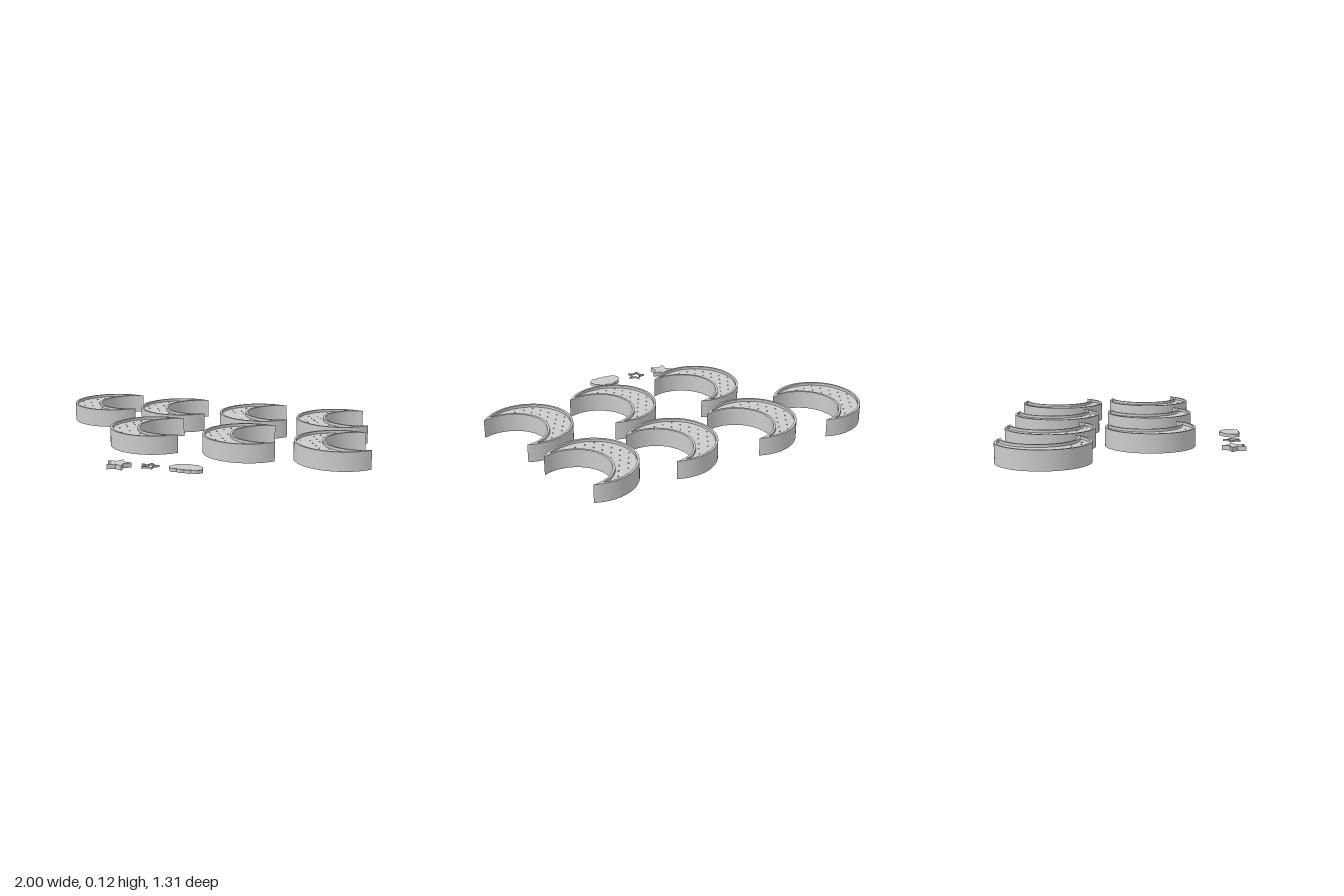
import * as THREE from 'three';
import { toCreasedNormals } from 'three/addons/utils/BufferGeometryUtils.js';

const material = new THREE.MeshStandardMaterial({ color: 0xcccccc });

// Crescent: a disc of radius R with a second disc of radius r bitten out
const R = 0.2475, r = 0.197, D = 0.117, TILT = 0.26;
const BITE = new THREE.Vector2(D * Math.cos(TILT), D * Math.sin(TILT));

function crescentPoints(inset) {
  const ro = R - inset, ri = r + inset;
  const a = (ro * ro - ri * ri + D * D) / (2 * D);
  const theta = Math.acos(a / ro), phi = Math.acos((a - D) / ri);
  const points = [];
  const n = 56, m = 44;
  for (let i = 0; i <= n; i++) {
    const t = TILT + theta + (2 * Math.PI - 2 * theta) * i / n;
    points.push(new THREE.Vector2(ro * Math.cos(t), ro * Math.sin(t)));
  }
  for (let i = 1; i < m; i++) {
    const t = TILT - phi - (2 * Math.PI - 2 * phi) * i / m;
    points.push(new THREE.Vector2(BITE.x + ri * Math.cos(t), BITE.y + ri * Math.sin(t)));
  }
  return points;
}

function starPoints(radius, inner = 0.5) {
  return Array.from({ length: 10 }, (_, i) => {
    const t = Math.PI / 2 + i * Math.PI / 5, d = i % 2 ? radius * inner : radius;
    return new THREE.Vector2(d * Math.cos(t), d * Math.sin(t));
  });
}

// Cloud: bulging arcs between cusps
function cloudPoints() {
  const cusps = [[-0.085, -0.04], [-0.04, -0.052], [0.0, -0.052], [0.04, -0.054], [0.08, -0.042],
    [0.084, -0.002], [0.06, 0.026], [0.016, 0.046], [-0.045, 0.036], [-0.082, 0.004]];
  const path = new THREE.Path().moveTo(...cusps[0]);
  cusps.forEach(([x, y], i) => {
    const [u, v] = cusps[(i + 1) % cusps.length];
    const k = 0.48;
    path.quadraticCurveTo((x + u) / 2 + (v - y) * k, (y + v) / 2 - (u - x) * k, u, v);
  });
  return path.getPoints(8).slice(0, -1);
}

const scaled = (points, k) => points.map(p => p.clone().multiplyScalar(k));

// Upright slab on the ground plane, from y0 to y1, with cut-outs
function slab(points, holes, y0, y1) {
  const shape = new THREE.Shape(points);
  shape.holes = holes.map(h => new THREE.Path(h));
  const geometry = new THREE.ExtrudeGeometry(shape, { depth: y1 - y0, bevelEnabled: false });
  geometry.rotateX(-Math.PI / 2).translate(0, y0, 0);
  return toCreasedNormals(geometry, 0.5);
}

// Small perforations on a staggered grid inside the crescent
function perforations() {
  const holes = [], step = 0.055, margin = 0.024;
  for (let row = -5; row <= 5; row++) {
    for (let col = -6; col <= 6; col++) {
      const x = (col + (row % 2 ? 0.5 : 0)) * step, y = row * step * 0.87;
      if (Math.hypot(x, y) > R - margin || Math.hypot(x - BITE.x, y - BITE.y) < r + margin) continue;
      holes.push(Array.from({ length: 6 }, (_, i) => new THREE.Vector2(
        x + 0.0045 * Math.cos(i * Math.PI / 3), y + 0.0045 * Math.sin(i * Math.PI / 3))));
    }
  }
  return holes;
}

function add(parent, name, geometry) {
  const mesh = new THREE.Mesh(geometry, material);
  mesh.name = name;
  parent.add(mesh);
}

// Thin-walled shape with a closed top and an open underside
function addHollow(parent, name, points, k, x, z, y0, y1) {
  const group = new THREE.Group();
  group.name = name;
  group.position.set(x, 0, z);
  const inner = scaled(points, k);
  const yTop = y1 - 0.005;
  add(group, name + 'Wall', slab(points, [inner], y0, yTop));
  add(group, name + 'Top', slab(points, [], yTop, y1));
  parent.add(group);
}

export function createModel() {
  const model = new THREE.Group();
  model.name = 'crescentTraySet';

  // Seven crescent trays: outer wall and recessed perforated plate
  const wall = slab(crescentPoints(0), [crescentPoints(0.013)], 0.02, 0.125);
  const plate = slab(crescentPoints(0.011), perforations(), 0.093, 0.11);
  const places = [
    ...[-1, -0.555, -0.045, 0.43].map(x => [x, -0.412]),
    ...[-0.522, 0.03, 0.55].map(x => [x, 0.132]),
  ];
  places.forEach(([left, z], i) => {
    const tray = new THREE.Group();
    tray.name = 'crescentTray' + (i + 1);
    tray.position.set(left + R, 0, z);
    add(tray, 'trayWall', wall);
    add(tray, 'perforatedPlate', plate);
    model.add(tray);
  });

  // Small loose pieces in front
  addHollow(model, 'star', starPoints(0.071), 0.86, -0.298, 0.594, 0, 0.026);
  addHollow(model, 'cloud', cloudPoints(), 0.93, 0.092, 0.592, 0.018, 0.037);

  const ring = starPoints(0.053);
  const outline = new THREE.Group();
  outline.name = 'starOutline';
  outline.position.set(-0.118, 0, 0.597);
  add(outline, 'starFrame', slab(ring, [scaled(ring, 0.75)], 0.018, 0.028));
  model.add(outline);

  return model;
}
